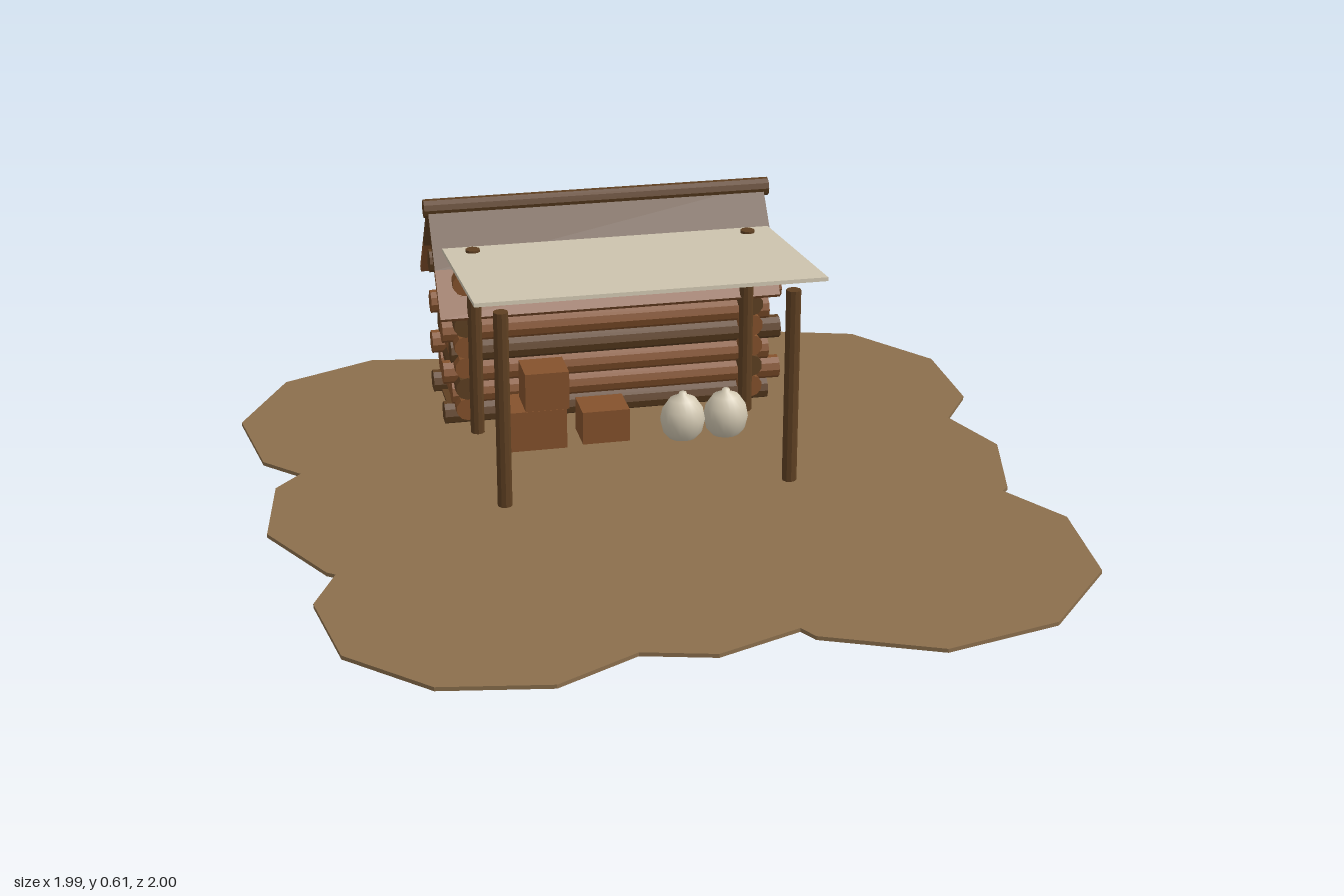
import * as THREE from 'three';

export function createModel() {
  const root = new THREE.Group();
  const mat = (name, color, extra = {}) => {
    const m = new THREE.MeshStandardMaterial({ color, ...extra });
    m.name = name;
    return m;
  };
  const earth = mat('earth', 0x8b6f4d);
  const wood = mat('warm wood', 0x85522c, { flatShading: true });
  const darkWood = mat('dark wood', 0x5f4022, { flatShading: true });
  const canvas = mat('canvas', 0xd0c6b0);

  const add = (name, geo, material, x = 0, y = 0, z = 0, parent = root) => {
    const mesh = new THREE.Mesh(geo, material);
    mesh.name = name;
    mesh.position.set(x, y, z);
    parent.add(mesh);
    return mesh;
  };
  const box = (w, h, d) => new THREE.BoxGeometry(w, h, d);
  // Round log lying along 'x' or 'z', or standing along 'y'
  const logGeo = (r, len, axis) => {
    const g = new THREE.CylinderGeometry(r, r, len, 10);
    if (axis === 'x') g.rotateZ(Math.PI / 2);
    if (axis === 'z') g.rotateX(Math.PI / 2);
    return g;
  };

  // Irregular patch of ground, outline as x, z pairs
  const outline = [
    -0.605, -1, -0.32, -0.955, -0.27, -0.905, -0.08, -0.985, 0.21, -0.92, 0.25, -0.88,
    0.27, -0.905, 0.54, -0.995, 0.82, -0.91, 0.99, -0.67, 0.99, -0.385, 0.9, -0.25,
    0.97, -0.05, 0.905, 0.21, 0.885, 0.23, 0.99, 0.41, 0.965, 0.705, 0.77, 0.93,
    0.48, 1, 0.205, 0.88, 0.18, 0.835, -0.03, 0.915, -0.205, 0.87, -0.41, 0.975,
    -0.675, 0.93, -0.86, 0.745, -0.9, 0.485, -0.835, 0.345, -0.855, 0.33, -0.98, 0.09,
    -0.94, -0.175, -0.87, -0.25, -0.96, -0.345, -1, -0.62, -0.86, -0.885,
  ];
  const pts = [];
  for (let i = 0; i < outline.length; i += 2) pts.push(new THREE.Vector2(outline[i], -outline[i + 1]));
  const groundGeo = new THREE.ExtrudeGeometry(new THREE.Shape(pts), { depth: 0.01, bevelEnabled: false });
  groundGeo.rotateX(-Math.PI / 2);
  add('ground', groundGeo, earth, 0, 0.008, 0);

  // Log cabin with interlocking corners
  const cabin = new THREE.Group();
  cabin.name = 'cabin';
  root.add(cabin);
  const cz = -0.632;
  add('floor', box(0.86, 0.02, 0.27), darkWood, -0.005, 0.016, cz, cabin);
  for (let i = 0; i < 7; i++) {
    const long = i % 2 === 1;
    const x0 = long ? -0.435 : -0.457;
    const x1 = long ? 0.483 : 0.45;
    const tone = i % 3 === 0 ? darkWood : wood;
    for (const s of [-1, 1]) {
      add('wallLog', logGeo(0.032, x1 - x0, 'x'), tone, (x0 + x1) / 2, 0.042 + i * 0.06, cz + s * 0.116, cabin);
      add('sideLog', logGeo(0.032, 0.345, 'z'), i % 3 === 1 ? darkWood : wood, -0.003 + s * 0.395, 0.072 + i * 0.06, cz + 0.003, cabin);
    }
  }

  // Triangular gable ends
  const tri = new THREE.Shape([
    new THREE.Vector2(-0.105, 0.44), new THREE.Vector2(0.105, 0.44), new THREE.Vector2(0, 0.565),
  ]);
  const gableGeo = new THREE.ExtrudeGeometry(tri, { depth: 0.03, bevelEnabled: false });
  gableGeo.rotateY(Math.PI / 2);
  for (const s of [-1, 1]) add('gable', gableGeo, wood, -0.018 + s * 0.395, 0, cz, cabin);

  // Pitched roof: a light lower board and a dark upper board on each slope
  const angle = Math.atan2(0.245, 0.205);
  for (const s of [-1, 1]) {
    const slope = new THREE.Group();
    slope.name = 'roofSlope';
    slope.position.set(-0.005, 0.596, cz);
    slope.rotation.x = s > 0 ? angle : Math.PI - angle;
    cabin.add(slope);
    add('upperRoofBoard', box(0.93, 0.018, 0.185), darkWood, 0, 0, 0.0925, slope);
    add('lowerRoofBoard', box(0.93, 0.018, 0.14), wood, 0, 0, 0.255, slope);
  }
  add('ridgePole', logGeo(0.025, 0.955, 'x'), darkWood, -0.003, 0.593, cz, cabin);

  // Sloping canopy on four posts
  const canopy = new THREE.Group();
  canopy.name = 'canopy';
  root.add(canopy);
  for (const x of [-0.378, 0.367])
    for (const z of [0.047, -0.425])
      add('post', logGeo(0.019, 0.538, 'y'), darkWood, x, 0.273, z, canopy);
  const sheet = add('canopySheet', box(0.89, 0.01, 0.594), canvas, -0.006, 0.554, -0.19, canopy);
  sheet.rotation.x = -Math.atan2(0.063, 0.59);

  // Wooden crates: x, y, z, width, height, depth
  for (const [x, y, z, w, h, d] of [
    [-0.236, 0.067, -0.335, 0.153, 0.126, 0.13],
    [-0.211, 0.183, -0.325, 0.118, 0.106, 0.108],
    [-0.051, 0.057, -0.335, 0.128, 0.106, 0.11],
  ]) add('crate', box(w, h, d), wood, x, y, z);

  // Plump sacks with a small tied neck
  const profile = [[0, 0.003], [0.03, 0.008], [0.053, 0.035], [0.061, 0.07], [0.055, 0.1],
    [0.036, 0.128], [0.012, 0.139], [0.01, 0.147], [0, 0.148]].map(([r, y]) => new THREE.Vector2(r, y));
  for (const x of [0.158, 0.277]) {
    const sack = add('sack', new THREE.LatheGeometry(profile, 20), canvas, x, 0, -0.28);
    sack.scale.z = 0.9;
  }
  return root;
}
